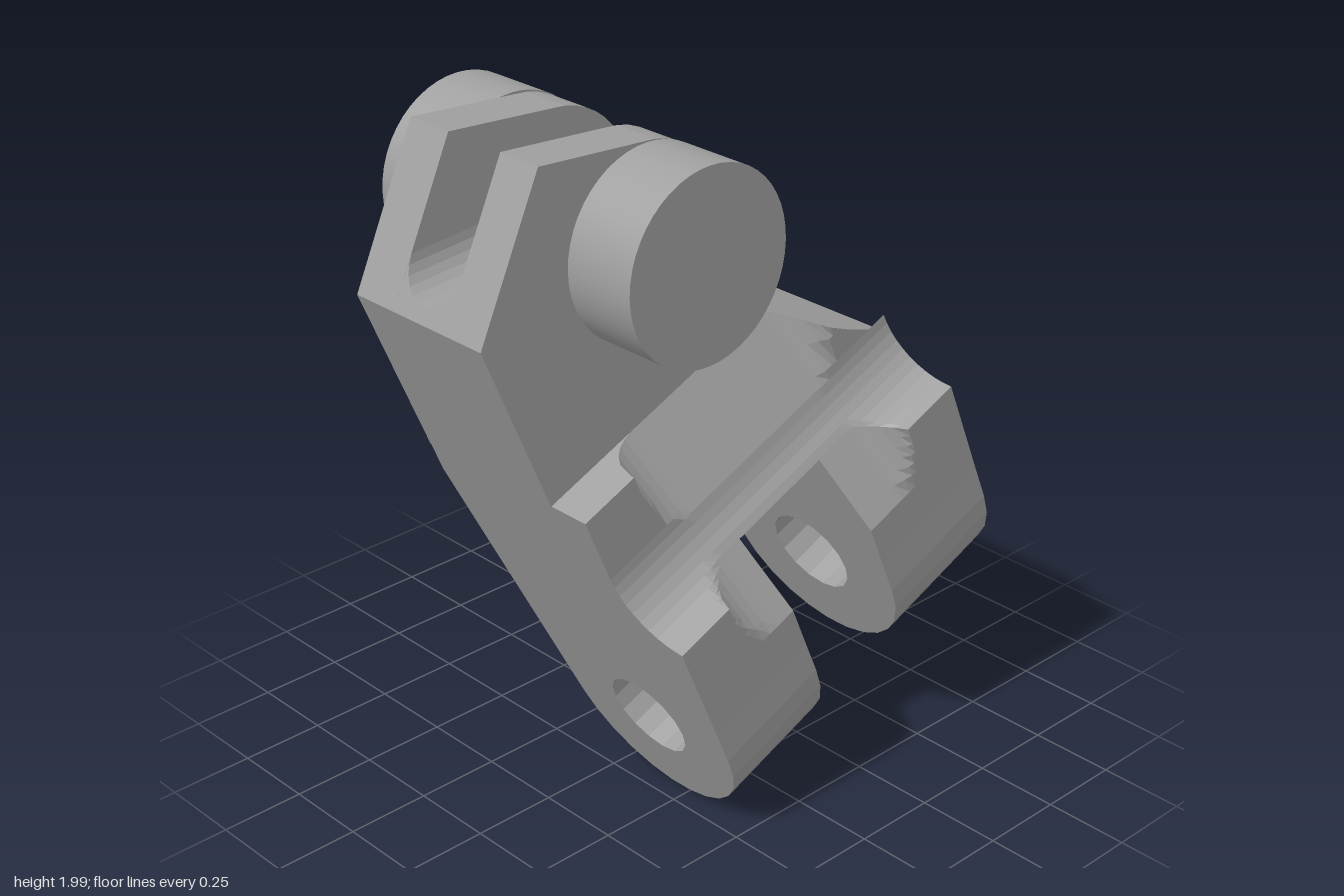
import * as THREE from 'three';

const grey = new THREE.MeshStandardMaterial({ color: 0xa0a0a0, side: THREE.DoubleSide });
grey.name = 'plain grey';

const TILT = 0.401;          // whole part leans in the front plane
const MID = 0.388;           // centre line of the fork
const TOP = 1.232;           // where the tongue meets the fork
const FRONT = 0.52, BACK = -0.29;
const EYE = { z: 0.208, y: 0.39, r: 0.313, hole: 0.136 };

// Flat-faced solid skinned over matching cross-sections; flat(p) gives 2D cap coordinates
function loft(name, sections, flat, { hole = [], caps = true } = {}) {
  const pos = [];
  const tri = (...pts) => pts.forEach((p) => pos.push(...p));
  const skin = (a, b) => a.forEach((p, i) => {
    const j = (i + 1) % a.length;
    tri(p, a[j], b[j]);
    tri(p, b[j], b[i]);
  });
  for (let s = 0; s + 1 < sections.length; s++) skin(sections[s], sections[s + 1]);
  const ends = [sections[0], sections[sections.length - 1]];
  const holes = ends.map((e) => hole.map(([, y, z]) => [e[0][0], y, z]));
  if (hole.length) skin(holes[0], holes[1]);
  if (caps) ends.forEach((end, k) => {
    const all = [...end, ...holes[k]];
    const v2 = (pts) => pts.map((p) => new THREE.Vector2(...flat(p)));
    const faces = THREE.ShapeUtils.triangulateShape(v2(end), hole.length ? [v2(holes[k])] : []);
    faces.forEach((f) => tri(...f.map((i) => all[i])));
  });
  const geo = new THREE.BufferGeometry();
  geo.setAttribute('position', new THREE.Float32BufferAttribute(pos, 3));
  geo.computeVertexNormals();
  const mesh = new THREE.Mesh(geo, grey);
  mesh.name = name;
  return mesh;
}

// Fork surfaces
const SCOOP = { y: 1.02, r: 0.193, z: 0.33 };
const backZ = (y) => Math.max(BACK, BACK + 0.254 * (1.135 - y));
const shoulder = (x) => Math.min(TOP, TOP - (x - 0.653) * 0.969);

function frontZ(x, y) {
  // scooped arms either side of a sloping recess with filleted sides
  let arm = FRONT;
  if (y >= SCOOP.y) arm = SCOOP.z;
  else if (y > SCOOP.y - SCOOP.r) arm = FRONT - 0.19 * Math.sqrt(1 - ((y - SCOOP.y) / SCOOP.r) ** 2);
  const d = Math.abs(x - MID), R = 0.12, e = d - 0.25;
  if (e > R) return arm;
  const fillet = e > 0 ? R - Math.sqrt(Math.max(0, R * R - e * e)) : 0;
  return Math.min(arm, 0.2 + (TOP - y) * 0.538 + fillet);
}

const frontYs = [TOP, 1.17, 1.1];
for (let i = 0; i <= 10; i++) frontYs.push(SCOOP.y - SCOOP.r * Math.sin((i / 10) * Math.PI / 2));
frontYs.push(0.8, 0.77, 0.74, 0.71, 0.68, 0.637, 0.5);

// Side profile of the fork at x; low cuts it off above the gap
function forkSection(x, low = 0) {
  const top = shoulder(x), pts = [];
  for (let i = 0; i <= 12; i++) {
    const a = (i / 12) * (Math.PI + 0.25 - 0.5);
    const z = EYE.z + EYE.r * Math.cos(a), y = EYE.y - EYE.r * Math.sin(a);
    pts.push(low ? [x, low, backZ(low)] : [x, y, z]);
  }
  const bend = Math.min(1.135, top);
  pts.push([x, bend, backZ(bend)], [x, top, backZ(top)]);
  pts.push([x, top, Math.min(SCOOP.z, frontZ(x, top))]);
  for (const v of frontYs) {
    let y = v > SCOOP.y ? Math.max(Math.min(v, top), SCOOP.y) : v;
    y = Math.max(y, low);
    pts.push([x, y, frontZ(x, y)]);
  }
  return pts;
}

function eyeHole() {
  return Array.from({ length: 16 }, (_, i) => {
    const a = (i / 16) * Math.PI * 2;
    return [0, EYE.y + EYE.hole * Math.sin(a), EYE.z + EYE.hole * Math.cos(a)];
  });
}

// Outline of the tongue, from the foot round to the left corner
function tongueOutline() {
  const pts = [[-0.167, TOP], [0.653, TOP]];
  for (let i = 0; i <= 8; i++) {
    const a = (i / 8) * 1.16;
    pts.push([0.386 + 0.267 * Math.cos(a), 1.692 + 0.267 * Math.sin(a)]);
  }
  pts.push([0.182, 2.094], [-0.167, 1.776]);
  return pts;
}

export function createModel() {
  const model = new THREE.Group();
  model.name = 'clevisLink';
  const body = new THREE.Group();
  body.name = 'tiltedBody';
  body.rotation.z = TILT;
  model.add(body);

  // Fork legs and the bridge joining them
  const side = ([, y, z]) => [z, y];
  const fillets = [0.25, 0.28, 0.31, 0.335, 0.355, 0.37, 0.3702];
  const leftXs = [-0.166, ...fillets.map((d) => MID - d).reverse(), 0.201];
  const rightXs = [0.53, ...fillets.map((d) => MID + d), 0.653, 0.82, 0.88, 0.945].sort((a, b) => a - b);
  for (const [name, xs] of [['rightLeg', leftXs], ['leftLeg', rightXs]]) {
    body.add(loft(name, xs.map((x) => forkSection(x)), side, { hole: eyeHole() }));
  }
  body.add(loft('bridge', [0.201, 0.53].map((x) => forkSection(x, 0.86)), side, { caps: false }));

  // Two tongue cheeks
  const face = ([x, y]) => [x, y];
  const outline = tongueOutline();
  for (const [name, z0, z1] of [['backCheek', BACK, -0.14], ['frontCheek', 0.06, 0.2]]) {
    body.add(loft(name, [z0, z1].map((z) => outline.map(([x, y]) => [x, y, z])), face));
  }

  // Core between the cheeks, with the round-bottomed slot on top
  const core = [];
  for (let i = 0; i <= 12; i++) {
    const a = (i / 12) * Math.PI, z = -0.04 - 0.1 * Math.cos(a), s = 0.1 * (1 - Math.sin(a));
    core.push([
      [-0.167, TOP, z], [0.653, TOP, z], [0.653, 1.54 + 1.09 * s, z],
      [-0.135 + 0.82 * s, 1.805 + 0.74 * s, z], [-0.167, 1.776, z],
    ]);
  }
  body.add(loft('slotCore', core, face, { caps: false }));

  // Free-standing round pins in front and behind
  const pin = new THREE.CylinderGeometry(0.269, 0.269, 0.224, 48).rotateX(Math.PI / 2);
  for (const [name, z] of [['frontPin', 0.328], ['backPin', -0.411]]) {
    const mesh = new THREE.Mesh(pin, grey);
    mesh.name = name;
    mesh.position.set(-0.307, 1.71, z);
    model.add(mesh);
  }
  return model;
}
